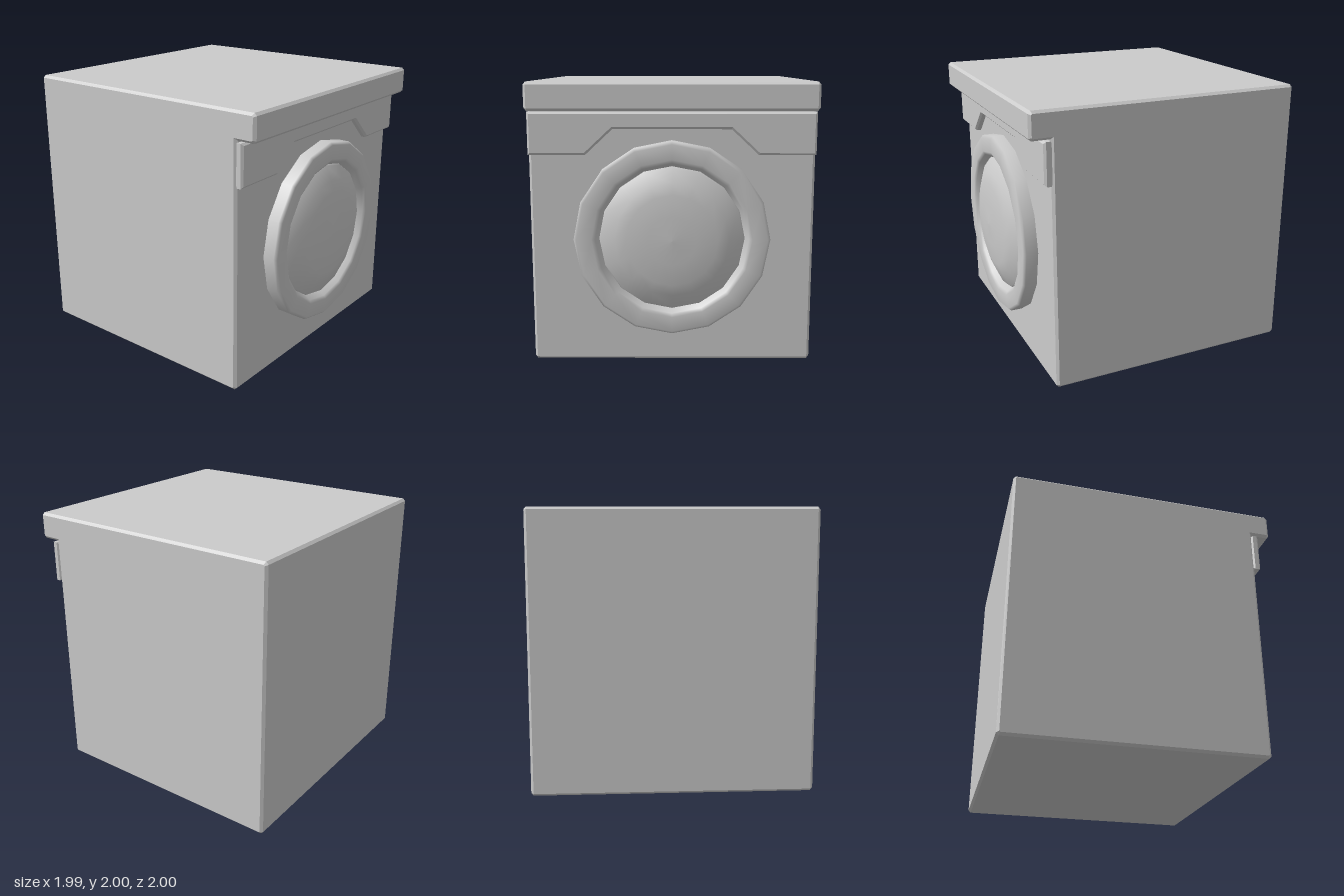
import * as THREE from 'three';

const grey = new THREE.MeshStandardMaterial({ color: 0xcccccc });
const BEVEL = 0.018;
const SIDES = 16;
const FRONT = 0.85; // front face of the cabinet

function mesh(name, geometry) {
  const m = new THREE.Mesh(geometry, grey);
  m.name = name;
  return m;
}

// Extrude an outline to an exact depth, with chamfered rims inside the outline
function slab(points, depth, bevel = BEVEL) {
  const shape = new THREE.Shape(points.map(([x, y]) => new THREE.Vector2(x, y)));
  const geo = new THREE.ExtrudeGeometry(shape, {
    depth: depth - 2 * bevel,
    bevelEnabled: true,
    bevelSegments: 1,
    bevelSize: bevel,
    bevelThickness: bevel,
    bevelOffset: -bevel,
  });
  return geo.translate(0, 0, bevel);
}

// Revolve [radius, z] points around the door axis
function turned(points) {
  const geo = new THREE.LatheGeometry(points.map(([r, z]) => new THREE.Vector2(r, z)), SIDES);
  return geo.rotateX(Math.PI / 2);
}

export function createModel() {
  const model = new THREE.Group();
  model.name = 'washingMachine';

  // Cabinet: side profile [z, y] with chamfered corners and overhanging top
  const c = BEVEL;
  const width = 1.99;
  const cabinet = slab([
    [-1 + c, 0], [FRONT - c, 0], [FRONT, c], [FRONT, 1.805],
    [0.995 - c, 1.805], [0.995, 1.805 + c], [0.995, 2 - c], [0.995 - c, 2],
    [-1 + c, 2], [-1, 2 - c], [-1, c],
  ], width);
  cabinet.translate(0, 0, -width / 2).rotateY(-Math.PI / 2);
  model.add(mesh('cabinet', cabinet));

  // Control panel with a raised middle cut-out above the door
  const half = [[0.41, 1.675], [0.6, 1.497], [0.995, 1.497], [0.995, 1.795]];
  const mirrored = half.map(([x, y]) => [-x, y]).reverse();
  const panel = slab([...half, ...mirrored], 0.06, 0.015);
  panel.translate(0, 0, FRONT - 0.015 + 0.005 + 0.045 - 0.04);
  const panelMesh = mesh('controlPanel', panel);
  panelMesh.position.z = 0.9 - (FRONT - 0.005 + 0.06);
  model.add(panelMesh);

  // Round door: frame ring and bulging glass
  const door = new THREE.Group();
  door.name = 'door';
  door.position.y = 0.912;
  door.add(mesh('doorFrame', turned([
    [0.685, FRONT - 0.01], [0.685, 0.935], [0.665, 0.955],
    [0.56, 0.955], [0.535, 0.94], [0.505, 0.885],
  ])));
  door.add(mesh('doorGlass', turned([
    [0.515, 0.885], [0.5, 0.91], [0.4, 0.955], [0.32, 0.98], [0.17, 0.993], [0, 1],
  ])));
  model.add(door);

  return model;
}
